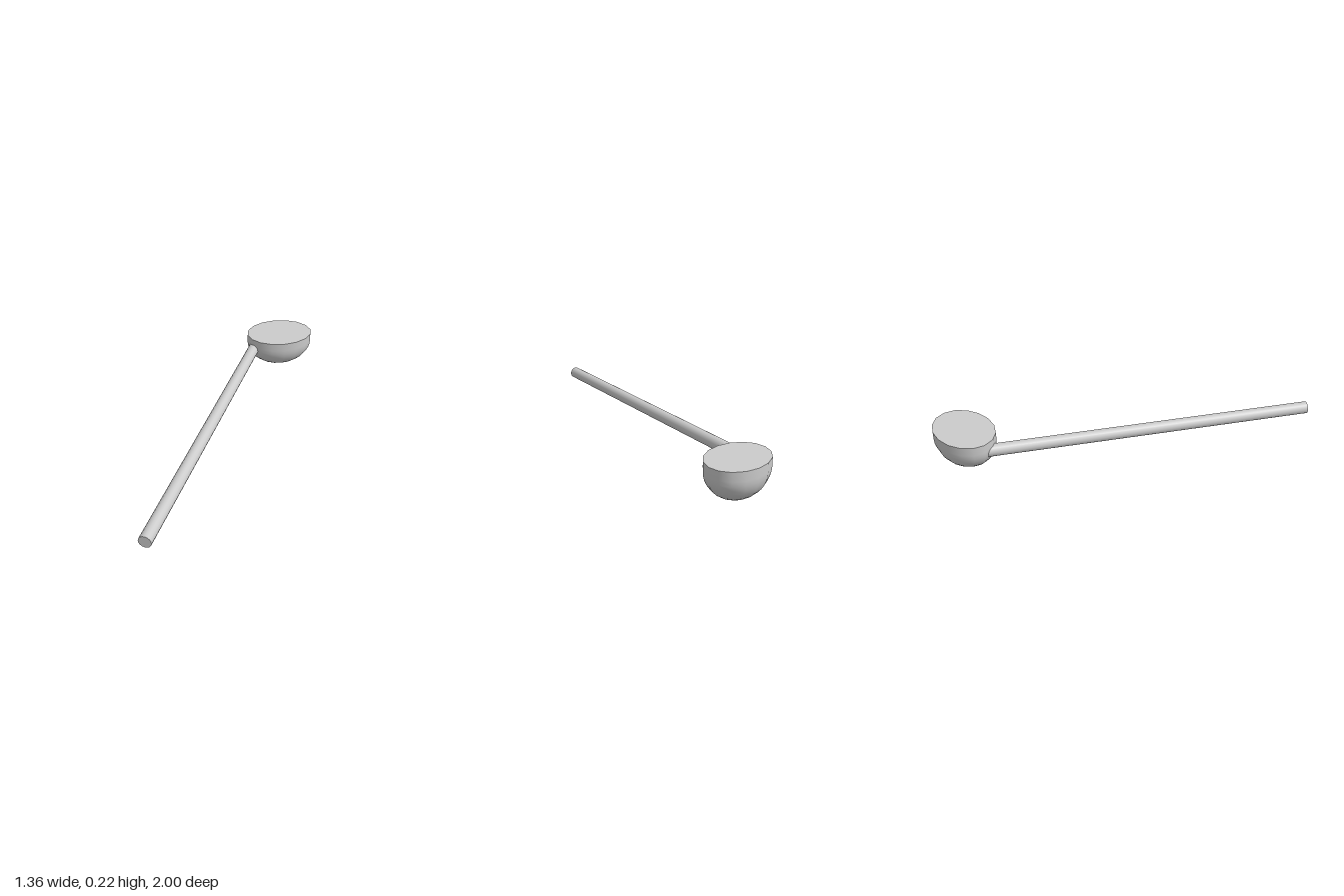
import * as THREE from 'three';

export function createModel() {
  const model = new THREE.Group();
  const material = new THREE.MeshStandardMaterial({ color: 0xcccccc });
  const add = (name, geometry) => {
    const mesh = new THREE.Mesh(geometry, material);
    mesh.name = name;
    model.add(mesh);
    return mesh;
  };
  const sides = 16, bowlX = 0.455, bowlZ = -0.83, radiusX = 0.225, radiusZ = 0.17;
  const wallStart = 0.17, rimY = 0.223;

  // Oval bowl: rounded underside running into a short upright wall
  const profile = [];
  for (let i = 0; i <= 10; i++) {
    const a = (i / 10) * Math.PI / 2;
    profile.push(new THREE.Vector2(Math.sin(a), wallStart * (1 - Math.cos(a))));
  }
  profile.push(new THREE.Vector2(1, rimY));
  const bowl = add('bowl', new THREE.LatheGeometry(profile, sides, Math.PI / 2));
  bowl.scale.set(radiusX, 1, radiusZ);
  bowl.position.set(bowlX, 0, bowlZ);

  // Flat surface closing the bowl at the rim
  const filling = add('bowlTop', new THREE.CircleGeometry(1, sides).rotateX(-Math.PI / 2));
  filling.scale.set(radiusX, 1, radiusZ);
  filling.position.set(bowlX, rimY, bowlZ);

  // Straight round handle, its far end sunk into the bowl wall
  const start = new THREE.Vector3(-0.651, 0.1455, 0.98);
  const direction = new THREE.Vector3(0.4625, 0, -0.887).normalize();
  const length = 2.02;
  const handle = add('handle', new THREE.CylinderGeometry(0.0375, 0.0375, length, sides));
  handle.quaternion.setFromUnitVectors(new THREE.Vector3(0, 1, 0), direction);
  handle.position.copy(start).addScaledVector(direction, length / 2);

  return model;
}
